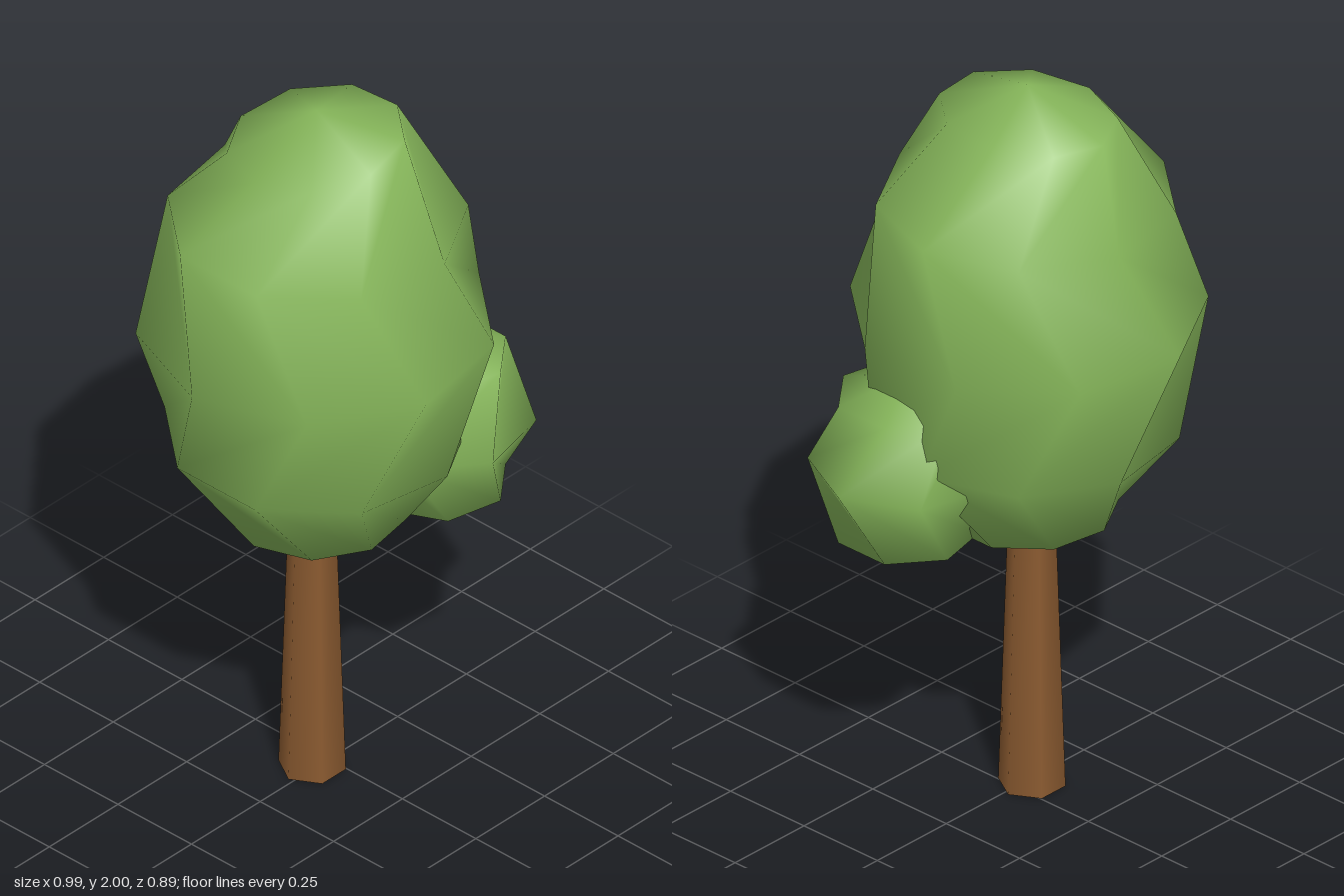
import * as THREE from 'three';
import { mergeVertices } from 'three/addons/utils/BufferGeometryUtils.js';

// Smooth low-poly foliage from rings of [y, radius, tilt], top to bottom.
// Every second ring is turned by half a step, and the long diagonals give a faceted, slightly spiky skin.
function foliage(name, material, cx, cz, sides, rings) {
  const positions = [], index = [];
  rings.forEach(([y, r, tilt = 0], row) => {
    for (let i = 0; i < sides; i++) {
      const a = ((i + (row % 2) / 2) / sides) * Math.PI * 2;
      const dx = r * Math.cos(a), dz = -r * Math.sin(a);
      positions.push(cx + dx, y + tilt * (dx + 0.8 * dz), cz + dz);
    }
  });
  for (let row = 0; row < rings.length - 1; row++) {
    for (let i = 0; i < sides; i++) {
      const next = (i + 1) % sides;
      const t0 = row * sides + i, t1 = row * sides + next;
      const b0 = t0 + sides, b1 = t1 + sides;
      if (row % 2 === 0) index.push(t0, b0, b1, t0, b1, t1);
      else index.push(t0, b0, t1, t1, b0, b1);
    }
  }
  let geometry = new THREE.BufferGeometry();
  geometry.setAttribute('position', new THREE.Float32BufferAttribute(positions, 3));
  geometry.setIndex(index);
  geometry = mergeVertices(geometry, 1e-4);
  geometry.computeVertexNormals();
  const mesh = new THREE.Mesh(geometry, material);
  mesh.name = name;
  return mesh;
}

export function createModel() {
  const group = new THREE.Group();
  group.name = 'tree';
  const leaf = new THREE.MeshStandardMaterial({ color: 0x86b65a });
  leaf.name = 'leaf green';
  const bark = new THREE.MeshStandardMaterial({ color: 0x8a5a30 });
  bark.name = 'bark brown';

  // Tapered six-sided trunk, its top hidden in the crown
  const trunk = new THREE.Mesh(new THREE.CylinderGeometry(0.06, 0.086, 0.8, 6).rotateY(Math.PI / 6), bark);
  trunk.name = 'trunk';
  trunk.position.set(-0.046, 0.4, -0.014);
  group.add(trunk);

  // Tall egg-shaped crown
  group.add(foliage('crown', leaf, -0.045, 0, 9, [
    [2.0, 0],
    [1.918, 0.225, 0.1],
    [1.68, 0.38],
    [1.36, 0.453],
    [1.035, 0.388],
    [0.79, 0.228],
    [0.727, 0],
  ]));

  // Small side clump low on the front left
  group.add(foliage('sideClump', leaf, 0.248, 0.137, 7, [
    [1.235, 0],
    [1.18, 0.182],
    [0.985, 0.247],
    [0.79, 0.182],
    [0.722, 0],
  ]));
  return group;
}
